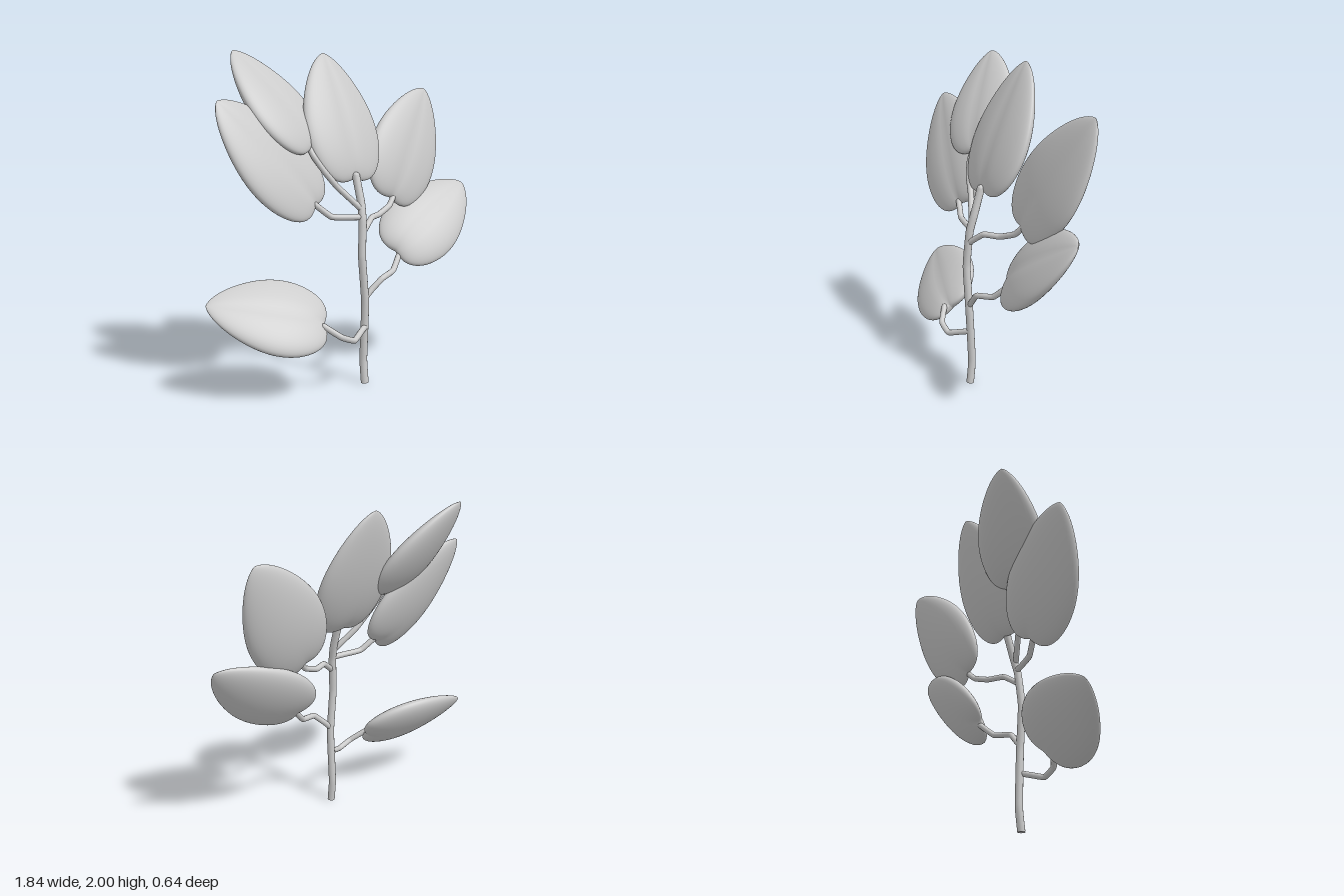
import * as THREE from 'three';
import { ParametricGeometry } from 'three/addons/geometries/ParametricGeometry.js';
import { mergeVertices } from 'three/addons/utils/BufferGeometryUtils.js';

const V = (p) => new THREE.Vector3(...p);
const material = new THREE.MeshStandardMaterial({ color: 0xcccccc });

// Plump heart-shaped leaf: base at the origin, tip along +y, upper face toward +z
function leafGeometry(length, halfWidth) {
  const surface = (u, v, target) => {
    const t = (1 - Math.cos(Math.PI * u)) / 2;
    const a = v * Math.PI * 2;
    const rest = Math.max(0, 1 - t);
    // ovate outline with a blunt, rounded tip
    const outline = Math.sqrt(t) * Math.pow(rest, 0.85) / 0.411 + 0.4 * Math.pow(t, 6) * Math.sqrt(rest);
    const x = halfWidth * outline * Math.cos(a);
    const y = length * t - 0.38 * Math.abs(x) * Math.pow(rest, 6);
    const s = Math.sin(a);
    let z = s * (s > 0 ? 0.066 : 0.088) * outline;
    // shallow midrib groove on the upper face
    if (s > 0) z -= 0.007 * outline * Math.exp(-Math.pow(Math.cos(a) * 6, 2));
    target.set(x, y, z);
  };
  let geometry = new ParametricGeometry(surface, 40, 48);
  geometry.deleteAttribute('normal');
  geometry.deleteAttribute('uv');
  geometry = mergeVertices(geometry, 1e-5);
  geometry.computeVertexNormals();
  return geometry;
}

// Place a leaf from its base, tip and approximate sideways direction
function makeLeaf({ name, base, tip, side, halfWidth }) {
  const along = V(tip).sub(V(base));
  const length = along.length();
  along.normalize();
  const across = V(side);
  across.addScaledVector(along, -across.dot(along)).normalize();
  const facing = new THREE.Vector3().crossVectors(across, along);
  const mesh = new THREE.Mesh(leafGeometry(length, halfWidth), material);
  mesh.quaternion.setFromRotationMatrix(new THREE.Matrix4().makeBasis(across, along, facing));
  mesh.position.copy(V(base));
  mesh.name = name;
  return mesh;
}

// Slightly kinked twig with a rounded far end
function makeTwig(name, points, radius) {
  const group = new THREE.Group();
  group.name = name;
  const path = new THREE.CatmullRomCurve3(points.map(V), false, 'catmullrom', 0.2);
  group.add(new THREE.Mesh(new THREE.TubeGeometry(path, points.length * 8, radius, 12), material));
  const end = new THREE.Mesh(new THREE.SphereGeometry(radius, 12, 8), material);
  end.position.copy(V(points[points.length - 1]));
  group.add(end);
  return group;
}

const LEAVES = [
  { name: 'topLeaf', base: [0, 1.24, 0.12], tip: [0, 1.99, -0.185], side: [1, 0, 0], halfWidth: 0.265 },
  { name: 'upperRightLeaf', base: [-0.25, 1.435, 0.03], tip: [-0.565, 1.995, -0.31], side: [0.44, 0.1, -0.16], halfWidth: 0.235 },
  { name: 'middleRightLeaf', base: [-0.28, 1.1, 0.11], tip: [-0.81, 1.705, -0.08], side: [0.72, 0.52, -0.3], halfWidth: 0.262 },
  { name: 'lowerRightLeaf', base: [-0.285, 0.415, 0.2], tip: [-0.92, 0.57, -0.06], side: [-0.05, 0.7, -0.68], halfWidth: 0.25 },
  { name: 'middleLeftLeaf', base: [0.33, 1.1, 0.075], tip: [0.765, 1.775, -0.085], side: [0.85, -0.5, 0.13], halfWidth: 0.26 },
  { name: 'lowerLeftLeaf', base: [0.31, 0.77, 0.155], tip: [0.915, 1.16, 0.13], side: [0.35, -0.6, 0.57], halfWidth: 0.245 },
];

const TWIGS = [
  ['upperRightTwig', [[-0.01, 1.07, 0.2], [-0.13, 1.2, 0.13], [-0.2, 1.29, 0.1], [-0.25, 1.38, 0.06], [-0.26, 1.43, 0.03]]],
  ['middleRightTwig', [[0, 1.02, 0.21], [-0.09, 1.025, 0.19], [-0.2, 1.035, 0.16], [-0.29, 1.11, 0.12]]],
  ['lowerRightTwig', [[0, 0.355, 0.23], [-0.06, 0.335, 0.26], [-0.14, 0.31, 0.3], [-0.23, 0.345, 0.295], [-0.31, 0.41, 0.23]]],
  ['middleLeftTwig', [[0, 0.94, 0.22], [0.09, 1.005, 0.18], [0.19, 1.01, 0.13], [0.3, 1.05, 0.1], [0.35, 1.1, 0.08]]],
  ['lowerLeftTwig', [[0.01, 0.54, 0.23], [0.05, 0.58, 0.235], [0.12, 0.64, 0.25], [0.24, 0.665, 0.21], [0.34, 0.76, 0.16]]],
];

export function createModel() {
  const model = new THREE.Group();
  model.name = 'plant';

  // Main stem with a flat foot
  model.add(makeTwig('stem', [[0, 0.002, 0.23], [0, 0.15, 0.215], [0, 0.5, 0.23], [-0.025, 0.78, 0.23],
    [-0.01, 1.0, 0.215], [0, 1.1, 0.19], [0, 1.26, 0.14]], 0.024));
  const foot = new THREE.Mesh(new THREE.CircleGeometry(0.024, 12), material);
  foot.name = 'stemFoot';
  foot.rotation.x = Math.PI / 2;
  foot.position.set(0, 0.001, 0.23);
  model.add(foot);

  for (const [name, points] of TWIGS) model.add(makeTwig(name, points, 0.018));
  for (const leaf of LEAVES) model.add(makeLeaf(leaf));
  return model;
}
